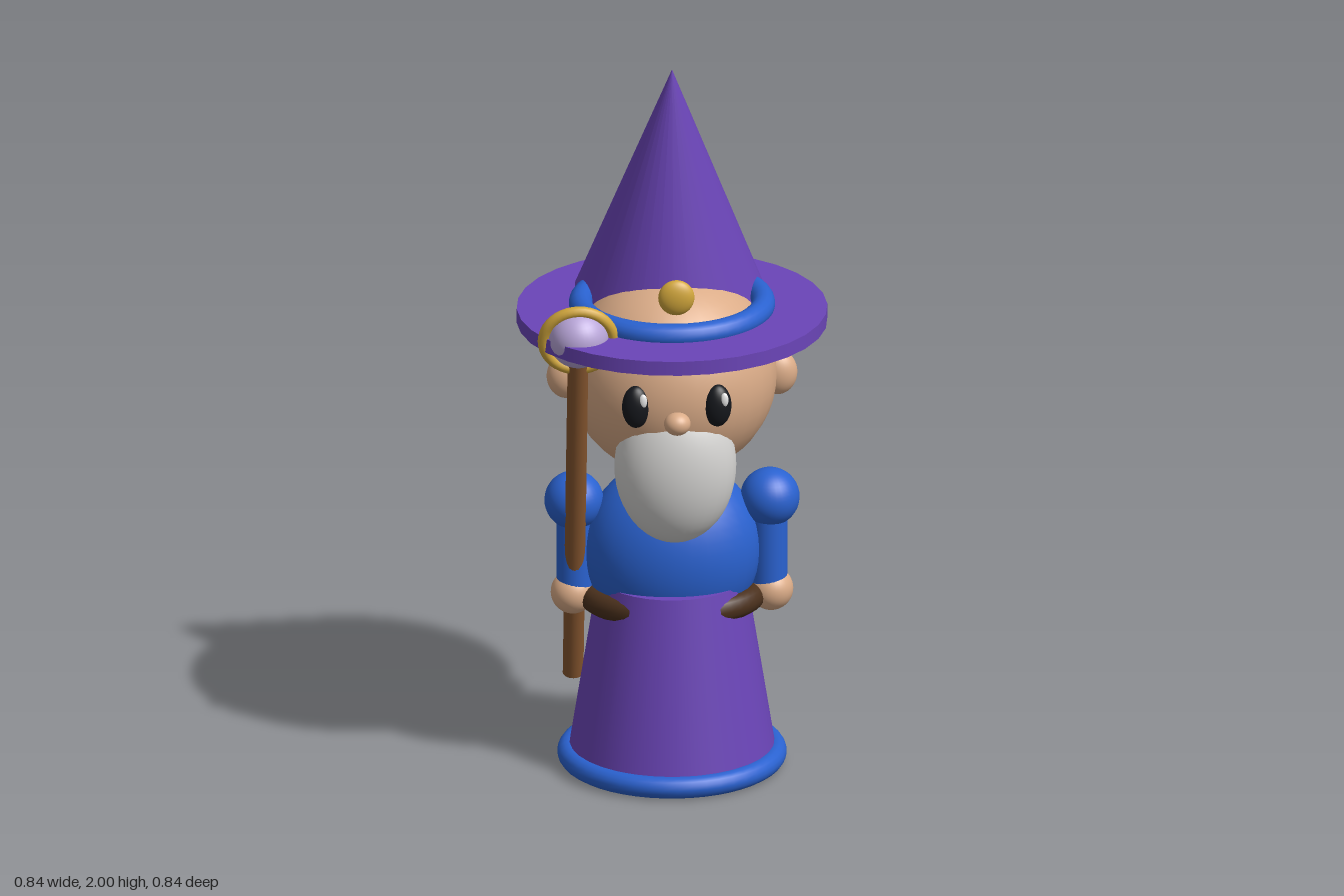
import * as THREE from 'three';

const mat = (name, color) => {
  const m = new THREE.MeshStandardMaterial({ color });
  m.name = name;
  return m;
};

export function createModel() {
  const purple = mat('purple cloth', 0x6b45b8);
  const blue = mat('blue cloth', 0x2a62d0);
  const skin = mat('skin', 0xdbac88);
  const gold = mat('gold', 0xd2a73c);
  const lavender = mat('lavender crystal', 0xb8a5d8);
  const wood = mat('wood', 0x86562f);
  const leather = mat('dark leather', 0x4a301c);
  const grey = mat('grey hair', 0xd4d3d1);
  const black = mat('black', 0x16181d);
  const white = mat('white', 0xf4f4f4);

  const model = new THREE.Group();
  model.name = 'wizard';

  const add = (name, geometry, material, x, y, z, parent = model) => {
    const mesh = new THREE.Mesh(geometry, material);
    mesh.name = name;
    mesh.position.set(x, y, z);
    parent.add(mesh);
    return mesh;
  };
  const ball = (name, material, [x, y, z], [rx, ry, rz]) => {
    const mesh = add(name, new THREE.SphereGeometry(1, 32, 24), material, x, y, z);
    mesh.scale.set(rx, ry, rz);
    return mesh;
  };
  // Horizontal ring lying flat around the body
  const ring = (name, material, radius, tube, y, depth = 1) => {
    const geometry = new THREE.TorusGeometry(radius, tube, 16, 48).rotateX(Math.PI / 2);
    const mesh = add(name, geometry, material, 0, y, 0);
    mesh.scale.z = depth;
    return mesh;
  };

  // Robe: skirt, hem, belt and upper body
  add('skirt', new THREE.CylinderGeometry(0.2, 0.28, 0.5, 32), purple, 0, 0.29, 0);
  ring('hem', blue, 0.28, 0.03, 0.03);
  ring('belt', leather, 0.22, 0.035, 0.485, 0.75);
  ball('torso', blue, [0, 0.62, 0], [0.24, 0.25, 0.185]);

  // Head and face
  ball('head', skin, [0, 1.13, 0], [0.285, 0.285, 0.285]);
  ball('nose', skin, [0, 1.085, 0.287], [0.036, 0.032, 0.034]);
  ball('beard', grey, [0, 0.925, 0.18], [0.165, 0.22, 0.12]);

  // Mirrored parts: left is +x
  for (const [side, s] of [['left', 1], ['right', -1]]) {
    ball(side + 'Ear', skin, [s * 0.285, 1.12, 0], [0.054, 0.063, 0.042]);
    ball(side + 'Eye', black, [s * 0.11, 1.125, 0.257], [0.038, 0.06, 0.03]);
    ball(side + 'EyeHighlight', white, [s * 0.11 + 0.018, 1.148, 0.278], [0.011, 0.02, 0.008]);
    ball(side + 'Shoulder', blue, [s * 0.265, 0.76, 0], [0.08, 0.08, 0.08]);
    add(side + 'Sleeve', new THREE.CylinderGeometry(0.05, 0.05, 0.25, 24), blue, s * 0.262, 0.635, 0);
    ball(side + 'Hand', skin, [s * 0.268, 0.495, 0], [0.06, 0.06, 0.06]);
  }

  // Hat: flat brim, leaning cone, band and jewel
  add('hatBrim', new THREE.CylinderGeometry(0.42, 0.42, 0.04, 32), purple, 0, 1.295, 0);
  const cone = add('hatCone', new THREE.ConeGeometry(0.26, 0.715, 32), purple, 0, 1.65, -0.072);
  cone.rotation.x = 0.203;
  ring('hatBand', blue, 0.247, 0.032, 1.325);
  ball('hatJewel', gold, [0, 1.43, 0.235], [0.049, 0.05, 0.024]);

  // Staff leaning forward through the right hand
  const staff = new THREE.Group();
  staff.name = 'staff';
  staff.position.set(-0.264, 0.495, 0);
  staff.rotation.x = 0.26;
  model.add(staff);
  add('staffPole', new THREE.CylinderGeometry(0.028, 0.028, 1.05, 20), wood, 0, 0.255, 0, staff);
  add('staffOrb', new THREE.SphereGeometry(0.082, 32, 24), lavender, 0, 0.845, 0, staff);
  add('staffRing', new THREE.TorusGeometry(0.094, 0.016, 14, 40), gold, 0, 0.837, 0, staff);

  return model;
}
